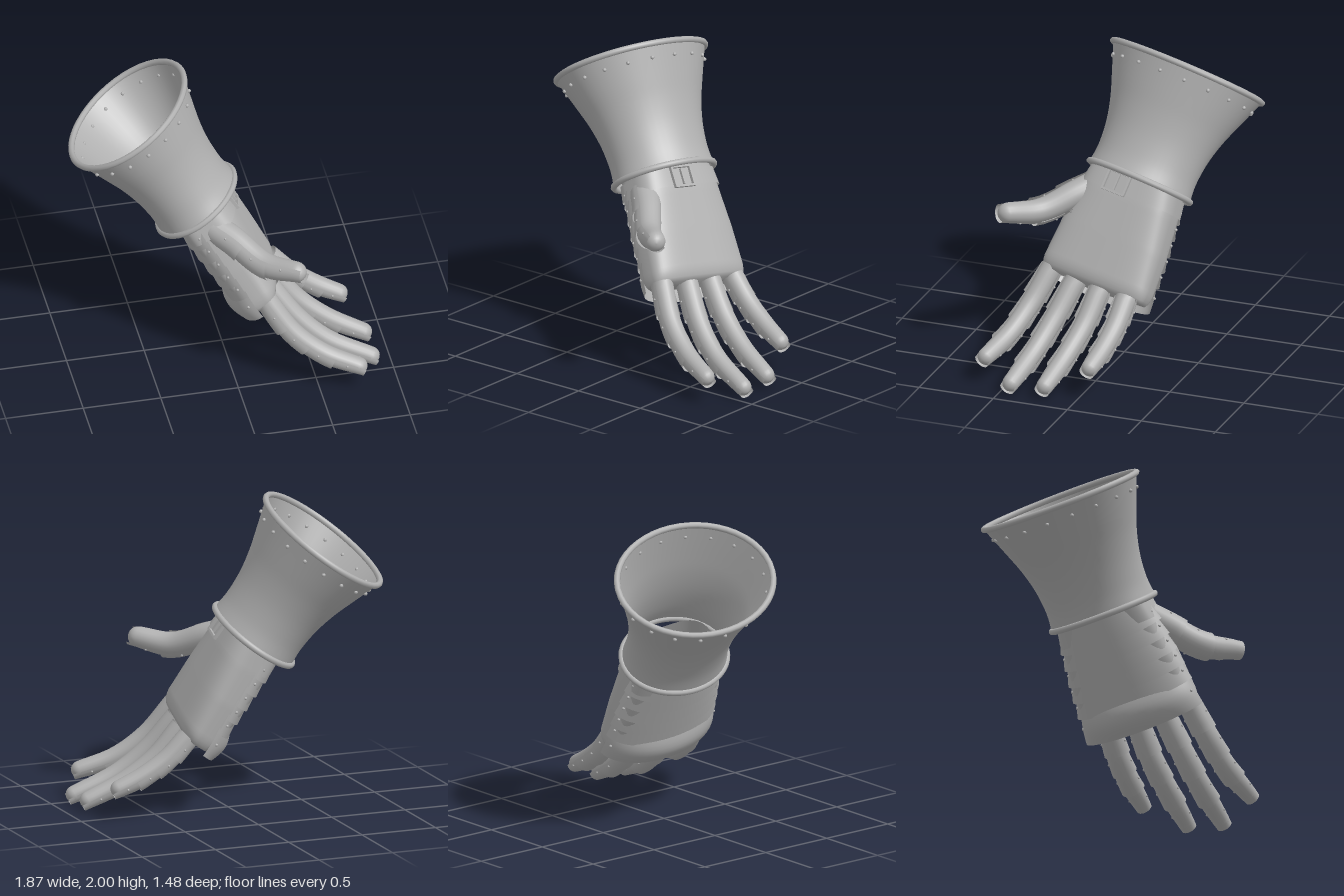
import * as THREE from 'three';

const steel = new THREE.MeshStandardMaterial({ color: 0xb0b0b0, side: THREE.DoubleSide });
steel.name = 'steel';

function mesh(name, geometry, parent) {
  const m = new THREE.Mesh(geometry, steel);
  m.name = name;
  parent.add(m);
  return m;
}

// Smooth surface from a rule f(s, t) -> Vector3; "closed" joins the s direction into a loop
function surface(ns, nt, f, closed = false) {
  const cols = closed ? ns : ns + 1, pos = [], idx = [];
  for (let j = 0; j <= nt; j++)
    for (let i = 0; i < cols; i++) pos.push(...f(i / ns, j / nt).toArray());
  for (let j = 0; j < nt; j++)
    for (let i = 0; i < ns; i++) {
      const a = j * cols + i, b = j * cols + (i + 1) % cols;
      idx.push(a, b, b + cols, a, b + cols, a + cols);
    }
  const g = new THREE.BufferGeometry();
  g.setAttribute('position', new THREE.Float32BufferAttribute(pos, 3));
  g.setIndex(idx);
  g.computeVertexNormals();
  return g;
}

// Linear lookup in rows of [key, value, value...] with rising keys
function lookup(rows, k) {
  let i = 0;
  while (i < rows.length - 2 && k > rows[i + 1][0]) i++;
  const f = THREE.MathUtils.clamp((k - rows[i][0]) / (rows[i + 1][0] - rows[i][0]), 0, 1);
  return rows[i].slice(1).map((v, n) => THREE.MathUtils.lerp(v, rows[i + 1][n + 1], f));
}

function rivet(p, r, parent) {
  mesh('rivet', new THREE.SphereGeometry(r, 8, 6), parent).position.copy(p);
}

// Flared cuff: x across, y to the palm side, z up the arm
const RX = 0.53, RY = 0.44, LEN = 0.755;
const flare = new THREE.SplineCurve([[0, 0.665], [0.15, 0.645], [0.35, 0.67], [0.55, 0.74], [0.75, 0.845], [1, 0.985]]
  .map(p => new THREE.Vector2(...p)));
function cuffPoint(s, t, grow = 0) {
  const p = flare.getPoint(t), a = s * Math.PI * 2;
  return new THREE.Vector3(Math.cos(a) * (RX * p.y + grow), Math.sin(a) * (RY * p.y + grow), p.x * LEN);
}

function buildCuff(parent) {
  mesh('cuff', surface(48, 20, (s, t) => cuffPoint(s, t), true), parent);
  for (const [name, t] of [['cuffRim', 1], ['wristRim', 0]]) {
    const pts = Array.from({ length: 24 }, (_, i) => cuffPoint(i / 24, t));
    const path = new THREE.CatmullRomCurve3(pts, true);
    mesh(name, new THREE.TubeGeometry(path, 48, 0.02, 8, true), parent);
  }
  for (let i = 0; i < 18; i++) rivet(cuffPoint((i + 0.5) / 18, 0.9, 0.004), 0.013, parent);
}

// Palm outline rows: distance down the hand, half width, palm height, back depth
const PALM = [[-0.05, 0.29, 0.2, 0.14], [0.15, 0.325, 0.19, 0.15], [0.4, 0.36, 0.165, 0.15], [0.66, 0.38, 0.135, 0.13],
  [0.72, 0.37, 0.11, 0.1], [0.745, 0.33, 0.06, 0.06], [0.75, 0, 0, 0]];
function palmPoint(s, c, grow = 0) {
  const [w, up, down] = lookup(PALM, c);
  const a = s * Math.PI * 2, x = Math.cos(a), y = Math.sin(a);
  const sq = v => Math.sign(v) * Math.abs(v) ** 0.55;
  return new THREE.Vector3(sq(x) * (w + grow), sq(y) * ((y > 0 ? up : down) + grow), -c);
}

function buildHand(parent) {
  mesh('palm', surface(64, 32, (s, t) => palmPoint(s, -0.05 + 0.8 * t), true), parent);
  mesh('wristStrap', surface(64, 1, (s, t) => palmPoint(s, 0.02 + 0.11 * t, 0.012), true), parent);

  // Buckle: square frame and prong
  const buckle = new THREE.Group();
  buckle.name = 'buckle';
  buckle.position.set(0.05, 0.215, -0.075);
  parent.add(buckle);
  for (const k of [-1, 1]) {
    mesh('buckleSide', new THREE.BoxGeometry(0.014, 0.02, 0.14), buckle).position.x = k * 0.077;
    mesh('buckleBar', new THREE.BoxGeometry(0.166, 0.02, 0.014), buckle).position.z = k * 0.064;
  }
  mesh('buckleProng', new THREE.BoxGeometry(0.01, 0.016, 0.1), buckle);

  // Overlapping lames over the back of the hand
  const COUNT = 6;
  for (let i = 0; i < COUNT; i++) {
    const c0 = 0.02 + i * 0.105, last = i === COUNT - 1, len = last ? 0.2 : 0.135;
    const point = (s, t) => {
      const c = c0 + len * t, a = Math.PI * (1.04 + 0.92 * s);
      const w = lookup(PALM, Math.min(c, 0.66))[0] + 0.006 + 0.028 * t;
      const bulge = last ? 0.045 * Math.sin(Math.PI * t) : 0;
      const bow = 0.03 * Math.sin(Math.PI * s);
      return new THREE.Vector3(Math.cos(a) * w, Math.sin(a) * (0.185 + 0.025 * t + bulge), -c - bow * t);
    };
    mesh(last ? 'knucklePlate' : 'handLame', surface(28, last ? 8 : 2, point), parent);
    for (const s of [0.06, 0.94]) rivet(point(s, 0.5), 0.01, parent);
  }
}

// Rounded finger with open lames along its back
function buildFinger(name, points, r0, r1, back, count, parent) {
  const g = new THREE.Group();
  g.name = name;
  parent.add(g);
  const curve = new THREE.CatmullRomCurve3(points.map(p => new THREE.Vector3(...p)));
  const length = curve.getLength();
  const radius = t => THREE.MathUtils.lerp(r0, r1, t);
  const around = (t, a, r) => {
    const u = Math.min(t, 1), T = curve.getTangentAt(u);
    const B = back.clone().addScaledVector(T, -back.dot(T)).normalize();
    const S = T.clone().cross(B);
    return curve.getPointAt(u).addScaledVector(T, (t - u) * length)
      .addScaledVector(B, Math.cos(a) * r).addScaledVector(S, Math.sin(a) * r);
  };
  const capSpan = r1 / length;
  mesh('finger', surface(18, 26, (s, v) => {
    if (v < 0.77) return around(v / 0.77, s * Math.PI * 2, radius(v / 0.77));
    const q = (v - 0.77) / 0.23 * Math.PI / 2;
    return around(1 + capSpan * Math.sin(q), s * Math.PI * 2, r1 * Math.cos(q));
  }, true), g);
  for (let i = 0; i < count; i++) {
    const a0 = i / count, a1 = (i + 1.15) / count;
    const tip = i === count - 1;
    const lame = (s, v) => {
      const t = THREE.MathUtils.lerp(a0, tip ? 1 + capSpan * 0.9 : a1, v), a = (s - 0.5) * Math.PI * 1.1;
      const close = tip ? 0.012 * v * v : -0.013 * v;
      return around(t, a, radius(Math.min(t, 1)) + 0.007 - close);
    };
    mesh(tip ? 'fingertipPlate' : 'fingerLame', surface(14, 5, lame), g);
    for (const s of [0.1, 0.9]) rivet(lame(s, 0.5), 0.008, g);
  }
}

export function createModel() {
  const model = new THREE.Group();
  model.name = 'gauntlet';

  // Cuff and hand share one tilted frame centred on the wrist
  const arm = new THREE.Group();
  arm.name = 'cuffAndHand';
  const up = new THREE.Vector3(-0.535, 0.815, -0.22).normalize();
  const palmSide = up.clone().cross(new THREE.Vector3(-0.16, 0.16, 0.975)).normalize();
  const across = palmSide.clone().cross(up);
  arm.quaternion.setFromRotationMatrix(new THREE.Matrix4().makeBasis(across, palmSide, up));
  arm.position.set(-0.155, 1.13, -0.045);
  model.add(arm);
  buildCuff(arm);
  buildHand(arm);

  const back = palmSide.clone().negate();
  const fingers = {
    indexFinger: [[0.2, 0.62, 0.41], [0.35, 0.41, 0.5], [0.53, 0.27, 0.57], [0.745, 0.185, 0.645]],
    middleFinger: [[0.26, 0.58, 0.23], [0.42, 0.37, 0.31], [0.6, 0.215, 0.37], [0.87, 0.085, 0.43]],
    ringFinger: [[0.3, 0.56, 0.05], [0.46, 0.36, 0.1], [0.64, 0.22, 0.15], [0.87, 0.1, 0.2]],
    littleFinger: [[0.33, 0.54, -0.14], [0.47, 0.4, -0.12], [0.62, 0.3, -0.095], [0.77, 0.225, -0.065]],
  };
  for (const [name, points] of Object.entries(fingers))
    buildFinger(name, points, 0.068, 0.055, back, 4, model);
  buildFinger('thumb', [[-0.09, 1.1, 0.22], [0.01, 1.06, 0.32], [0.17, 0.98, 0.5], [0.34, 1.005, 0.655]],
    0.09, 0.066, new THREE.Vector3(-0.4, -0.7, 0.45).normalize(), 3, model);
  return model;
}
